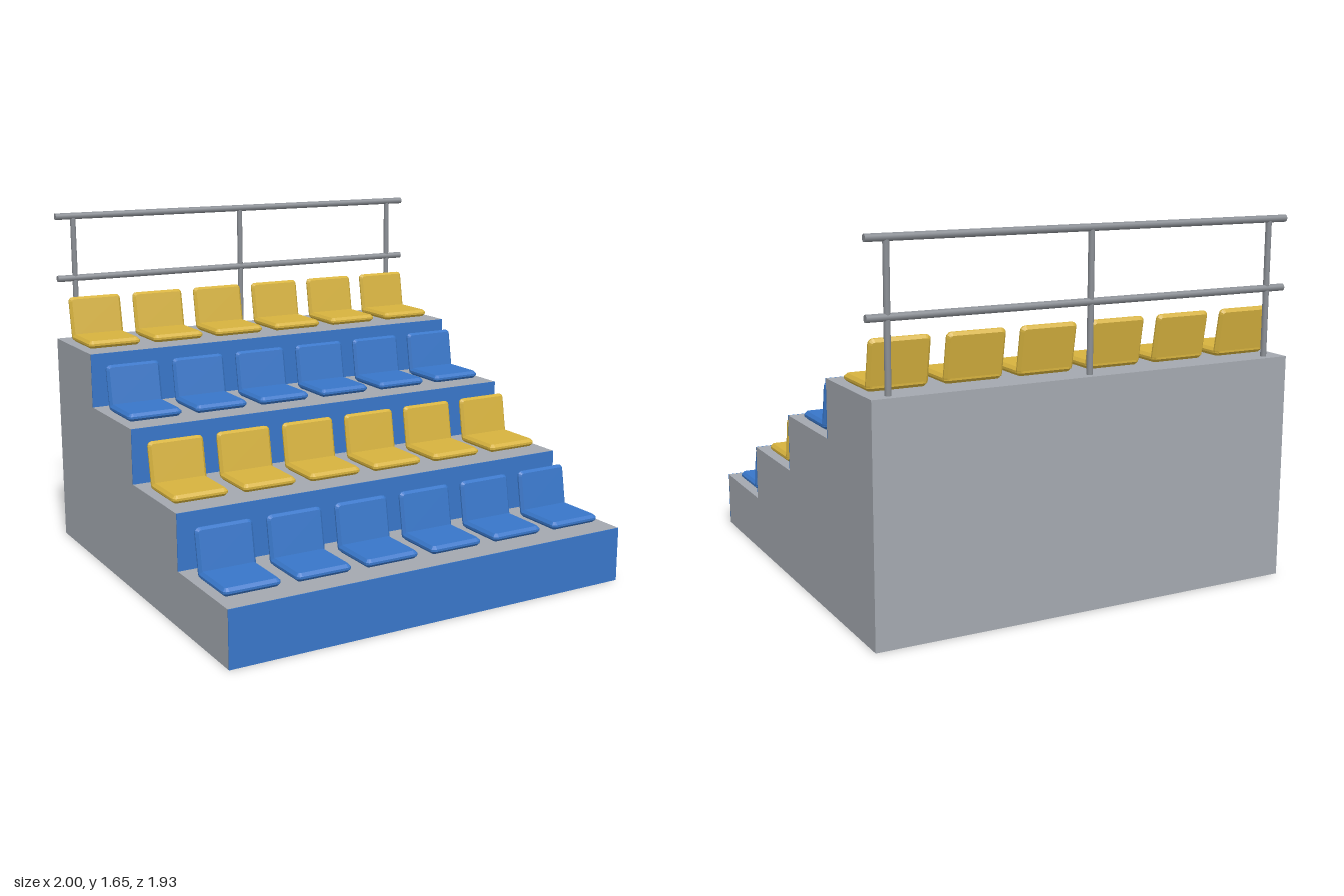
import * as THREE from 'three';

const mat = (name, color) => {
  const m = new THREE.MeshStandardMaterial({ color });
  m.name = name;
  return m;
};

// Chamfered slab with rounded corners, lying in XY and centred on the origin
function slab(w, h, t, bevel, r) {
  const x = w / 2 - bevel, y = h / 2 - bevel;
  const s = new THREE.Shape();
  s.moveTo(-x + r, -y);
  s.lineTo(x - r, -y);
  s.quadraticCurveTo(x, -y, x, -y + r);
  s.lineTo(x, y - r);
  s.quadraticCurveTo(x, y, x - r, y);
  s.lineTo(-x + r, y);
  s.quadraticCurveTo(-x, y, -x, y - r);
  s.lineTo(-x, -y + r);
  s.quadraticCurveTo(-x, -y, -x + r, -y);
  const depth = t - 2 * bevel;
  const g = new THREE.ExtrudeGeometry(s, {
    depth, bevelEnabled: true, bevelSize: bevel, bevelThickness: bevel, bevelSegments: 1, curveSegments: 3,
  });
  return g.translate(0, 0, -depth / 2);
}

export function createModel() {
  const concrete = mat('concrete grey', 0xa3a8af);
  const blue = mat('blue', 0x3876c8);
  const yellow = mat('yellow', 0xd6b23e);
  const steel = mat('rail steel', 0x8a8e94);

  const model = new THREE.Group();
  model.name = 'grandstand';
  const add = (parent, name, geo, material, x = 0, y = 0, z = 0) => {
    const m = new THREE.Mesh(geo, material);
    m.name = name;
    m.position.set(x, y, z);
    parent.add(m);
    return m;
  };

  const rows = 4, rise = 0.255, run = 0.484, front = 0.967, skin = 0.004;

  // Stepped concrete body, profile drawn in (-z, y) and extruded across x
  const profile = new THREE.Shape();
  profile.moveTo(-front + skin, 0);
  for (let i = 0; i < rows; i++) {
    const u = -front + skin + i * run;
    profile.lineTo(u, (i + 1) * rise);
    profile.lineTo(i === rows - 1 ? front : u + run, (i + 1) * rise);
  }
  profile.lineTo(front, 0);
  const body = new THREE.ExtrudeGeometry(profile, { depth: 2, bevelEnabled: false });
  body.translate(0, 0, -1).rotateY(Math.PI / 2);
  add(model, 'steppedBody', body, concrete);

  const panGeo = slab(0.265, 0.258, 0.036, 0.013, 0.012).rotateX(-Math.PI / 2);
  const backGeo = slab(0.265, 0.215, 0.032, 0.012, 0.012);
  const riserGeo = new THREE.BoxGeometry(2, rise, skin);

  for (let i = 0; i < rows; i++) {
    const z = front - i * run;
    // Painted riser
    add(model, 'riserPanel', riserGeo, blue, 0, (i + 0.5) * rise, z - skin / 2);

    // Row of seats, alternating colour
    const row = new THREE.Group();
    row.name = 'seatRow';
    row.position.set(0, (i + 1) * rise, z);
    model.add(row);
    const paint = i % 2 ? yellow : blue;
    for (let k = 0; k < 6; k++) {
      const x = (k - 2.5) * 0.334;
      add(row, 'seatPan', panGeo, paint, x, 0.022, -0.235);
      add(row, 'seatBack', backGeo, paint, x, 0.112, -0.363).rotation.x = -0.175;
    }
  }

  // Safety railing along the rear edge
  const railing = new THREE.Group();
  railing.name = 'railing';
  railing.position.set(0, rows * rise, -0.92);
  model.add(railing);
  const postGeo = new THREE.CylinderGeometry(0.0135, 0.0135, 0.61, 12);
  const barGeo = new THREE.CylinderGeometry(0.016, 0.016, 2, 12).rotateZ(Math.PI / 2);
  for (const x of [-0.91, 0, 0.91]) add(railing, 'railPost', postGeo, steel, x, 0.305, 0);
  for (const y of [0.305, 0.61]) add(railing, 'railBar', barGeo, steel, 0, y, 0);

  return model;
}
